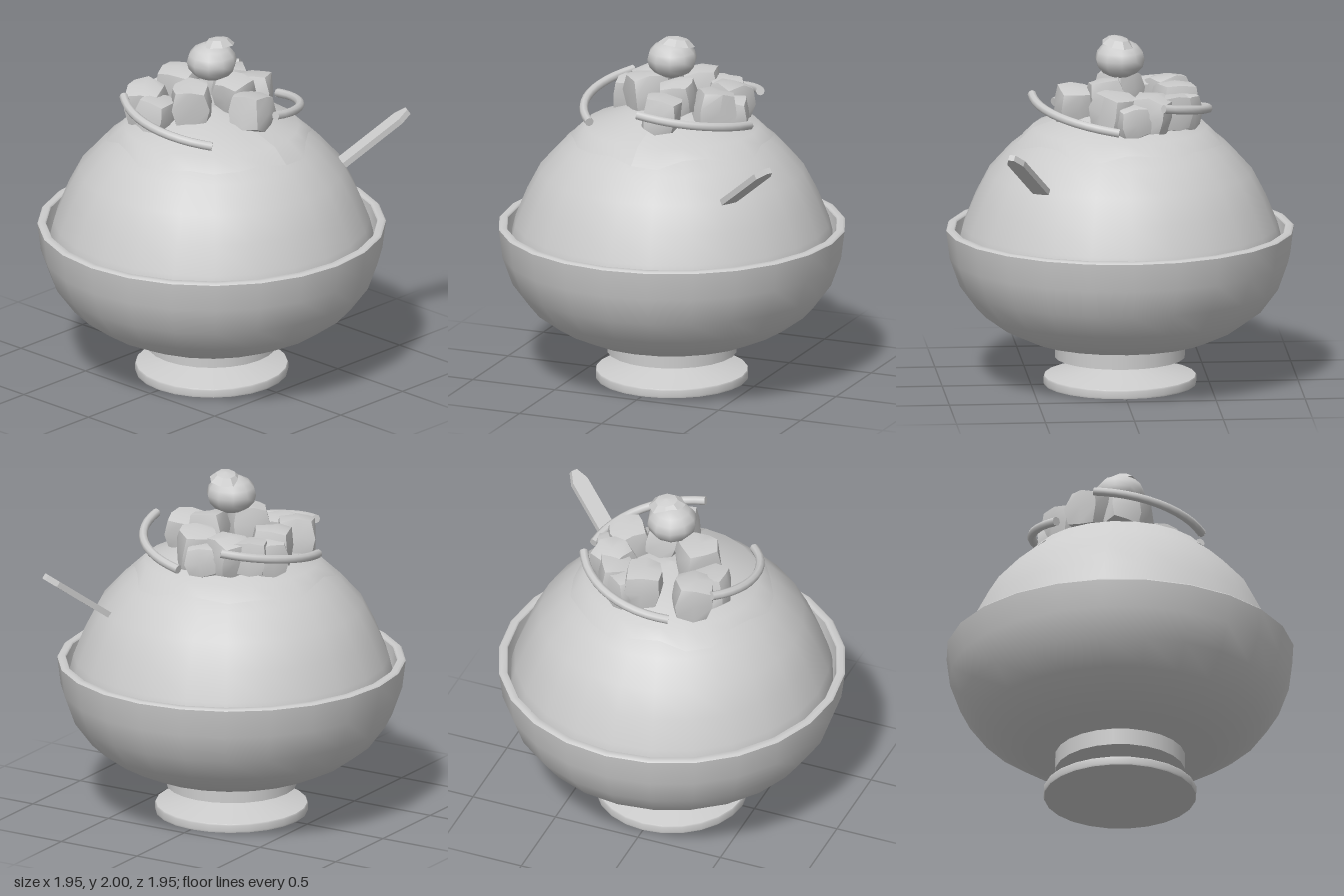
import * as THREE from 'three';
import { toCreasedNormals } from 'three/addons/utils/BufferGeometryUtils.js';

const grey = new THREE.MeshStandardMaterial({ color: 0xcccccc, side: THREE.DoubleSide });
grey.name = 'plain grey';

function add(group, name, geometry) {
  const mesh = new THREE.Mesh(geometry, grey);
  mesh.name = name;
  group.add(mesh);
  return mesh;
}

const lathe = (points) =>
  new THREE.LatheGeometry(points.map(([r, y]) => new THREE.Vector2(r, y)), 24);

// Repeatable jitter in -0.5..0.5, the same for coincident corners
const jitter = (x, y, z, seed) => {
  const s = Math.sin(x * 12.99 + y * 78.23 + z * 37.72 + seed * 9.17) * 43758.5;
  return s - Math.floor(s) - 0.5;
};

// Lumpy cube with bulging faces
function chunkGeometry(size, seed) {
  const g = new THREE.BoxGeometry(1, 1, 1, 2, 2, 2);
  const p = g.attributes.position;
  const v = new THREE.Vector3();
  for (let i = 0; i < p.count; i++) {
    v.fromBufferAttribute(p, i);
    const k = [v.x, v.y, v.z].map((n) => Math.round(n * 2));
    const corners = Math.abs(k[0]) + Math.abs(k[1]) + Math.abs(k[2]);
    v.multiplyScalar([1, 1.12, 1.02, 0.88][corners]);
    v.x += 0.1 * jitter(...k, seed);
    v.y += 0.1 * jitter(...k, seed + 3);
    v.z += 0.1 * jitter(...k, seed + 7);
    p.setXYZ(i, v.x * size, v.y * size, v.z * size);
  }
  return toCreasedNormals(g, 0.75);
}

export function createModel() {
  const model = new THREE.Group();
  model.name = 'shavedIceDessert';

  // Bowl with a thick rim and a foot ring
  const bowl = new THREE.Group();
  bowl.name = 'bowl';
  model.add(bowl);
  add(bowl, 'bowlOutside', lathe([
    [0.36, 0.25], [0.53, 0.275], [0.67, 0.34], [0.8, 0.435],
    [0.9, 0.57], [0.957, 0.73], [0.977, 0.89],
  ]));
  add(bowl, 'bowlRim', lathe([[0.977, 0.89], [0.965, 0.9], [0.935, 0.9], [0.928, 0.89]]));
  add(bowl, 'bowlInside', lathe([
    [0.928, 0.89], [0.91, 0.73], [0.85, 0.59], [0.75, 0.46], [0.5, 0.33], [0, 0.29],
  ]));
  add(bowl, 'footRing', lathe([[0.365, 0.155], [0.365, 0.255]]));
  add(bowl, 'footRingUnderside', lathe([[0, 0.155], [0.365, 0.155]]));

  // Pedestal
  const pedestal = new THREE.Group();
  pedestal.name = 'pedestal';
  model.add(pedestal);
  add(pedestal, 'stem', lathe([[0.12, 0.125], [0.12, 0.156]]));
  add(pedestal, 'baseSlope', lathe([[0.425, 0.05], [0.12, 0.125]]));
  add(pedestal, 'baseEdge', lathe([[0.427, 0], [0.43, 0.01], [0.43, 0.042], [0.425, 0.05]]));
  add(pedestal, 'baseUnderside', lathe([[0, 0], [0.427, 0]]));

  // Ice mound filling the bowl
  add(model, 'iceMound', lathe([
    [0.91, 0.72], [0.905, 0.83], [0.885, 0.91], [0.82, 1.07], [0.742, 1.22],
    [0.62, 1.355], [0.48, 1.468], [0.25, 1.548], [0, 1.575],
  ]));

  // Syrup cap with a wavy lower edge
  const syrup = lathe([
    [0.56, 1.405], [0.49, 1.475], [0.25, 1.557], [0, 1.585],
  ]);
  const sp = syrup.attributes.position;
  for (let i = 0; i < sp.count; i++) {
    if (sp.getY(i) > 1.42) continue;
    const a = Math.atan2(sp.getX(i), sp.getZ(i));
    const wave = 0.02 * Math.sin(a * 7) + 0.015 * Math.cos(a * 5);
    const k = (0.565 + wave) / 0.56;
    sp.setXYZ(i, sp.getX(i) * k, 1.403 - wave * 0.85, sp.getZ(i) * k);
  }
  syrup.computeVertexNormals();
  add(model, 'syrupCap', syrup);

  // Fruit chunks: x, y, z, size, turn
  const chunks = [
    [-0.24, 1.6, -0.28, 0.2, 0.5], [-0.3, 1.585, -0.14, 0.18, 0.1],
    [-0.16, 1.655, -0.01, 0.2, 0.75], [0.05, 1.615, 0.26, 0.19, 0.2],
    [0.08, 1.67, 0.09, 0.175, 0.15], [0.28, 1.615, 0.05, 0.2, 0.7],
    [0.05, 1.62, -0.3, 0.2, 0.3], [0.14, 1.585, -0.33, 0.18, 0.9],
    [0.23, 1.6, -0.26, 0.18, 0.5], [0.29, 1.6, -0.16, 0.2, 1.1],
    [0.35, 1.575, -0.04, 0.17, 0.3],
  ];
  const fruit = new THREE.Group();
  fruit.name = 'fruitChunks';
  model.add(fruit);
  chunks.forEach(([x, y, z, size, turn], i) => {
    const chunk = add(fruit, 'fruitChunk', chunkGeometry(size, i + 1));
    chunk.position.set(x, y, z);
    chunk.rotation.set(0.12 * Math.sin(i * 2), turn, 0.15 * Math.cos(i * 3));
  });

  // Three curved strips, each falling from one end to the other
  const strips = new THREE.Group();
  strips.name = 'curvedStrips';
  model.add(strips);
  for (const start of [0, 115, 229]) {
    const points = [];
    for (let i = 0; i <= 8; i++) {
      const t = i / 8;
      const a = THREE.MathUtils.degToRad(start + 85 * t);
      points.push(new THREE.Vector3(0.495 * Math.sin(a), 1.665 - 0.125 * t, 0.495 * Math.cos(a)));
    }
    const curve = new THREE.CatmullRomCurve3(points);
    add(strips, 'strip', new THREE.TubeGeometry(curve, 12, 0.025, 8));
    // Closed ends
    for (const t of [0, 1]) {
      const cap = add(strips, 'stripEnd', new THREE.CircleGeometry(0.025, 8));
      const p = curve.getPointAt(t);
      cap.position.copy(p);
      cap.lookAt(p.clone().addScaledVector(curve.getTangentAt(t), t ? 1 : -1));
    }
  }

  // Berry on top with a small drooping cap
  const berry = add(model, 'topBerry', new THREE.SphereGeometry(1, 10, 8));
  berry.scale.set(0.142, 0.108, 0.142);
  berry.position.set(0, 1.862, 0);

  const capGeometry = new THREE.SphereGeometry(1, 8, 2, 0, Math.PI * 2, 0, Math.PI * 0.4);
  const cap = add(model, 'berryCap', toCreasedNormals(capGeometry, 0.5));
  cap.scale.set(0.11, 0.07, 0.095);
  cap.position.set(0.035, 1.93, 0.02);
  cap.rotation.set(-0.12, 0.3, -0.08);

  // Flat pointed stick leaning out of the mound
  const outline = new THREE.Shape();
  outline.moveTo(-0.05, 0);
  outline.lineTo(0.05, 0);
  outline.lineTo(0.05, 0.4);
  outline.lineTo(0.018, 0.47);
  outline.lineTo(-0.018, 0.47);
  outline.lineTo(-0.05, 0.4);
  outline.closePath();
  const stickGeometry = new THREE.ExtrudeGeometry(outline, { depth: 0.034, bevelEnabled: false });
  stickGeometry.translate(0, 0, -0.017);
  const stick = add(model, 'stick', stickGeometry);
  const along = new THREE.Vector3(0.33, 0.27, 0.195).normalize();
  const across = new THREE.Vector3(-along.z, 0, along.x).normalize();
  const through = new THREE.Vector3().crossVectors(across, along);
  stick.quaternion.setFromRotationMatrix(new THREE.Matrix4().makeBasis(across, along, through));
  stick.position.set(0.55, 1.225, 0.485);

  return model;
}
